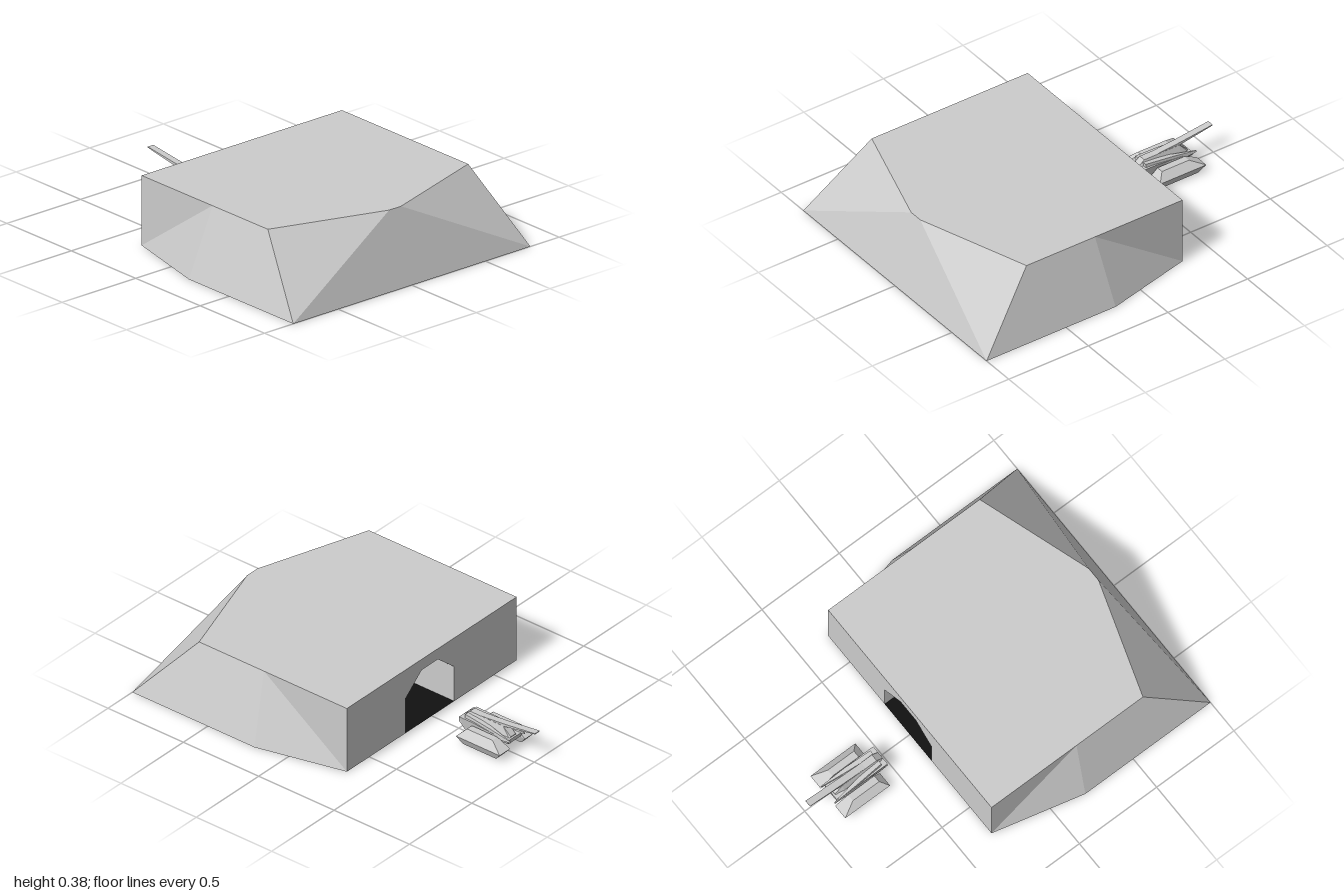
import * as THREE from 'three';

const grey = new THREE.MeshStandardMaterial({ color: 0xcccccc, flatShading: true, side: THREE.DoubleSide });
const black = new THREE.MeshStandardMaterial({ color: 0x111111, flatShading: true, side: THREE.DoubleSide });

const H = 0.385, BACK = -0.32, TUNNEL_END = 0.22;

function mesh(name, geometry, material = grey) {
  const m = new THREE.Mesh(geometry, material);
  m.name = name;
  return m;
}

// Faceted geometry from a list of triangles, each with three [x, y, z] corners
function facets(tris) {
  const g = new THREE.BufferGeometry();
  g.setAttribute('position', new THREE.Float32BufferAttribute(tris.flat(2), 3));
  g.computeVertexNormals();
  return g;
}

function flat(points) {
  return new THREE.ShapeGeometry(new THREE.Shape(points.map(([x, y]) => new THREE.Vector2(x, y))));
}

// Closed solid through rectangular sections, each [z, halfWidthBottom, halfWidthTop, yBottom, yTop]
function loft(sections, cx = 0) {
  const loops = sections.map(([z, wb, wt, y0, y1]) =>
    [[cx - wb, y0, z], [cx + wb, y0, z], [cx + wt, y1, z], [cx - wt, y1, z]]);
  const tris = [];
  const quad = (a, b, c, d) => tris.push([a, b, c], [a, c, d]);
  for (let i = 0; i < loops.length - 1; i++) {
    const p = loops[i], q = loops[i + 1];
    for (let k = 0; k < 4; k++) {
      const n = (k + 1) % 4;
      quad(p[k], q[k], q[n], p[n]);
    }
  }
  const last = loops[loops.length - 1];
  quad(...loops[0]);
  quad(last[3], last[2], last[1], last[0]);
  return facets(tris);
}

// Closed solid through horizontal rectangles, each [y, x0, x1, z0, z1]
function stack(levels) {
  const loops = levels.map(([y, x0, x1, z0, z1]) => [[x0, y, z1], [x1, y, z1], [x1, y, z0], [x0, y, z0]]);
  const tris = [];
  const quad = (a, b, c, d) => tris.push([a, b, c], [a, c, d]);
  for (let i = 0; i < loops.length - 1; i++) {
    for (let k = 0; k < 4; k++) {
      const n = (k + 1) % 4;
      quad(loops[i][k], loops[i][n], loops[i + 1][n], loops[i + 1][k]);
    }
  }
  const [a, b, c, d] = loops[0];
  quad(d, c, b, a);
  quad(...loops[loops.length - 1]);
  return facets(tris);
}

function createBunker() {
  const bunker = new THREE.Group();
  bunker.name = 'bunker';

  // Sloping walls and roof: one half, then its mirror image
  const bottom = [[0.68, BACK], [0.805, 0.19], [0.805, 1], [0.805, 1], [0, 1]].map(([x, z]) => [x, 0, z]);
  const top = [[0.68, BACK], [0.68, 0.23], [0.68, 0.66], [0.04, 0.87], [0, 0.87]].map(([x, z]) => [x, H, z]);
  const half = [], roofHalf = [];
  for (let i = 0; i < 4; i++) {
    half.push([bottom[i], top[i], top[i + 1]]);
    if (i !== 2) half.push([bottom[i], top[i + 1], bottom[i + 1]]);
    roofHalf.push([[0, H, BACK], top[i + 1], top[i]]);
  }
  const mirrored = (tris) => tris.concat(tris.map((t) => [t[0], t[2], t[1]].map(([x, y, z]) => [-x, y, z])));
  bunker.add(mesh('slopedWalls', facets(mirrored(half))), mesh('roof', facets(mirrored(roofHalf))));

  // Back wall with the arched doorway
  const arch = [[0.21, 0], [0.21, 0.21], [0.08, 0.32], [-0.05, 0.32], [-0.18, 0.21], [-0.18, 0]];
  const flip = ([x, y]) => [-x, y];
  const wall = flat([[-0.68, 0], ...arch.map(flip), [0.68, 0], [0.68, H], [-0.68, H]]);
  wall.rotateY(Math.PI).translate(0, 0, BACK);
  bunker.add(mesh('backWall', wall));

  // Tunnel lining, end wall and dark floor
  const lining = [];
  for (let i = 0; i < arch.length - 1; i++) {
    const a = [...arch[i], BACK], b = [...arch[i + 1], BACK];
    const c = [...arch[i + 1], TUNNEL_END], d = [...arch[i], TUNNEL_END];
    lining.push([a, b, c], [a, c, d]);
  }
  const end = flat(arch.map(flip)).rotateY(Math.PI).translate(0, 0, TUNNEL_END);
  const tunnelFloor = flat([[-0.18, BACK], [0.21, BACK], [0.21, TUNNEL_END], [-0.18, TUNNEL_END]]);
  tunnelFloor.rotateX(Math.PI / 2);
  bunker.add(mesh('tunnelLining', facets(lining)), mesh('tunnelEnd', end, black),
    mesh('tunnelFloor', tunnelFloor, black));

  // Underside, cut out at the tunnel and by a slot at the front
  const base = flat([
    [-0.68, BACK], [-0.18, BACK], [-0.18, TUNNEL_END], [0.21, TUNNEL_END], [0.21, BACK], [0.68, BACK],
    [0.805, 0.19], [0.805, 1], [0.04, 1], [0.04, 0.69], [-0.04, 0.69], [-0.04, 1], [-0.805, 1], [-0.805, 0.19],
  ]).rotateX(Math.PI / 2);
  bunker.add(mesh('underside', base));
  return bunker;
}

function createTank() {
  const tank = new THREE.Group();
  tank.name = 'tank';
  tank.position.x = -0.025;

  // Track pods with bevelled tops and undersides
  for (const s of [-1, 1]) {
    const span = (a, b) => (s > 0 ? [a, b] : [-b, -a]);
    tank.add(mesh(s > 0 ? 'leftTrack' : 'rightTrack', stack([
      [0, ...span(0.075, 0.125), -0.83, -0.61],
      [0.045, ...span(0.06, 0.145), -0.87, -0.58],
      [0.085, ...span(0.065, 0.105), -0.79, -0.62],
    ])));

    // Wedge arms reaching forward beside the gun
    tank.add(mesh(s > 0 ? 'leftArm' : 'rightArm', loft([
      [-0.87, 0.004, 0.002, 0.078, 0.085],
      [-0.72, 0.016, 0.012, 0.06, 0.108],
      [-0.56, 0.02, 0.015, 0.06, 0.12],
    ], 0).applyMatrix4(new THREE.Matrix4().set(
      1, 0, -s * 0.08, s * (0.056 - 0.08 * 0.87), 0, 1, 0, 0, 0, 0, 1, 0, 0, 0, 0, 1))));
  }

  // Hull, turret and raised tapering gun
  tank.add(mesh('hull', loft([
    [-0.85, 0.05, 0.058, 0.06, 0.08],
    [-0.62, 0.05, 0.06, 0.04, 0.1],
    [-0.57, 0.045, 0.06, 0.015, 0.1],
    [-0.53, 0.06, 0.06, 0.075, 0.1],
  ])));
  tank.add(mesh('turret', loft([
    [-0.84, 0.03, 0.02, 0.075, 0.085],
    [-0.79, 0.035, 0.02, 0.08, 0.13],
    [-0.57, 0.04, 0.02, 0.08, 0.13],
    [-0.53, 0.03, 0.02, 0.08, 0.1],
  ])));
  tank.add(mesh('gun', loft([
    [-1, 0.019, 0.019, 0.165, 0.17],
    [-0.8, 0.019, 0.019, 0.13, 0.145],
    [-0.64, 0.019, 0.019, 0.1, 0.13],
  ])));
  return tank;
}

export function createModel() {
  const model = new THREE.Group();
  model.name = 'bunkerAndTank';
  model.add(createBunker(), createTank());
  return model;
}
